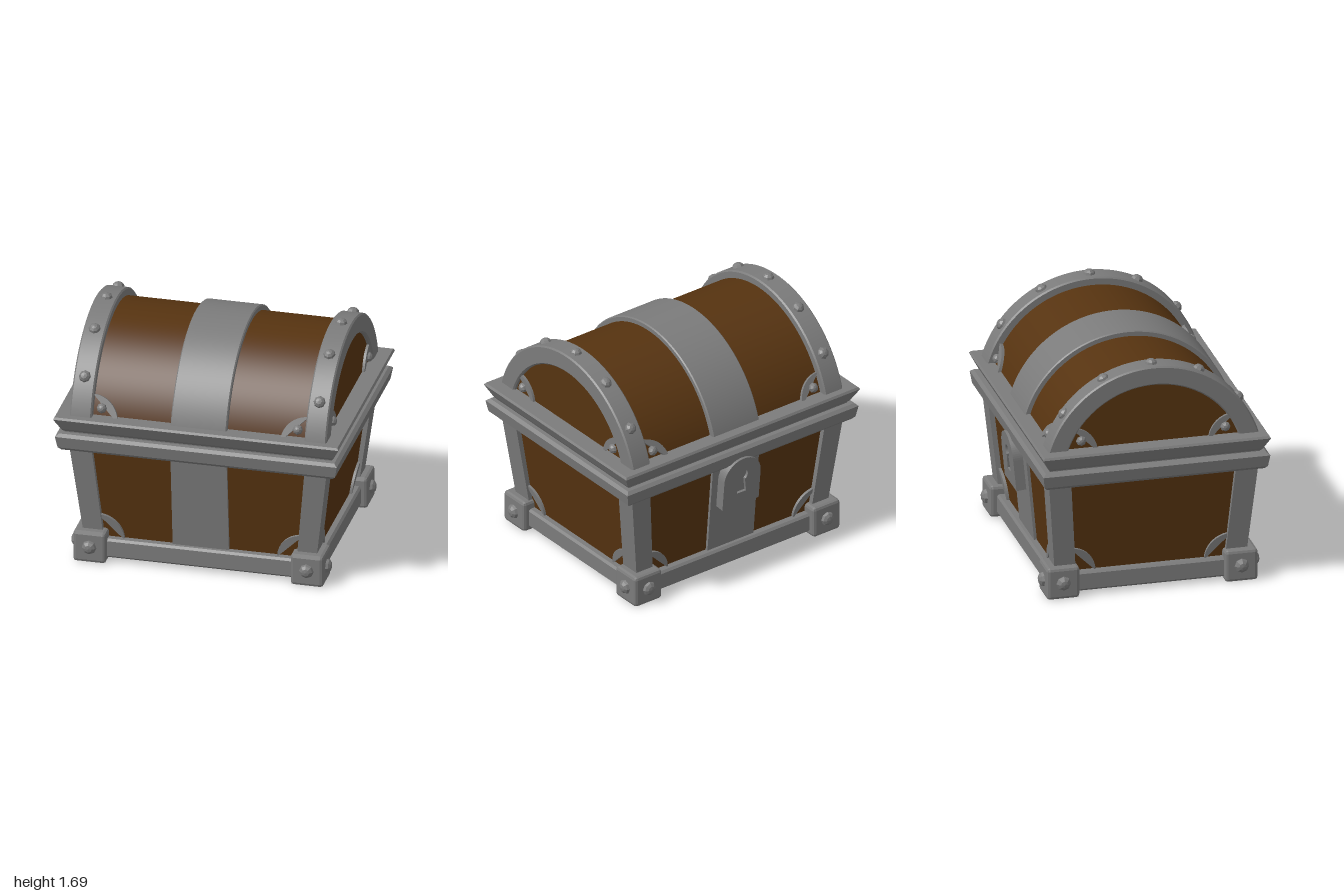
import * as THREE from 'three';
import { toCreasedNormals } from 'three/addons/utils/BufferGeometryUtils.js';
import { RoundedBoxGeometry } from 'three/addons/geometries/RoundedBoxGeometry.js';

const HALF_PI = Math.PI / 2;
const LID_Y = 0.884; // height of the lid's arc centre

export function createModel() {
  const iron = new THREE.MeshStandardMaterial({ color: 0x7b7b7b });
  iron.name = 'iron grey';
  const wood = new THREE.MeshStandardMaterial({ color: 0x563310 });
  wood.name = 'dark wood';

  const chest = new THREE.Group();
  chest.name = 'treasureChest';
  chest.position.z = 0.005;

  function add(name, geometry, material, parent = chest) {
    const mesh = new THREE.Mesh(geometry, material);
    mesh.name = name;
    parent.add(mesh);
    return mesh;
  }

  // Stack of rectangles [y, x0, x1, z0, z1] joined into a closed flat-shaded solid
  function loft(sections) {
    const pos = [], index = [];
    for (const [y, xa, xb, za, zb] of sections) {
      const x0 = Math.min(xa, xb), x1 = Math.max(xa, xb);
      const z0 = Math.min(za, zb), z1 = Math.max(za, zb);
      pos.push(x0, y, z1, x1, y, z1, x1, y, z0, x0, y, z0);
    }
    const top = (sections.length - 1) * 4;
    for (let o = 0; o < top; o += 4) {
      for (let i = 0; i < 4; i++) {
        const a = o + i, b = o + (i + 1) % 4;
        index.push(a, b, b + 4, a, b + 4, a + 4);
      }
    }
    index.push(0, 2, 1, 0, 3, 2, top, top + 1, top + 2, top, top + 2, top + 3);
    const g = new THREE.BufferGeometry();
    g.setAttribute('position', new THREE.Float32BufferAttribute(pos, 3));
    g.setIndex(index);
    const flat = g.toNonIndexed();
    flat.computeVertexNormals();
    return flat;
  }
  const centred = rows => loft(rows.map(([y, x, z]) => [y, -x, x, -z, z]));

  // Arched slab (or hoop, with an inner radius) lying along x
  function arch(outer, inner, width, bevel) {
    const cut = 0.16, R = outer - bevel;
    const a = Math.asin(cut / R);
    const shape = new THREE.Shape();
    shape.absarc(0, 0, R, a, Math.PI - a, false);
    if (inner) {
      const r = inner + bevel, b = Math.asin(cut / r);
      shape.absarc(0, 0, r, Math.PI - b, b, true);
    }
    const g = new THREE.ExtrudeGeometry(shape, {
      depth: width - 2 * bevel, curveSegments: 32, bevelEnabled: bevel > 0,
      bevelSize: bevel, bevelThickness: bevel, bevelSegments: 1,
    });
    g.translate(0, 0, -(width - 2 * bevel) / 2);
    g.rotateY(HALF_PI);
    g.translate(0, LID_Y, 0);
    return toCreasedNormals(g, 0.4);
  }

  // Faceted stud head pointing along +z
  function dome(r, depth) {
    const g = new THREE.SphereGeometry(r, 8, 3, 0, Math.PI * 2, 0, HALF_PI).toNonIndexed();
    g.rotateX(HALF_PI);
    g.scale(1, 1, depth / r);
    g.computeVertexNormals();
    return g;
  }

  // Quarter-disc corner plate, front face at z = 0
  function quarterPlate(r, start) {
    const shape = new THREE.Shape();
    shape.moveTo(0, 0);
    shape.absarc(0, 0, r, start, start + HALF_PI, false);
    const g = new THREE.ExtrudeGeometry(shape, { depth: 0.03, bevelEnabled: false, curveSegments: 8 });
    g.translate(0, 0, -0.03);
    return g;
  }

  // Tapered wooden body, base and the two rims
  add('woodenBody', centred([[0.1, 0.775, 0.63], [0.9, 0.87, 0.705]]), wood);
  add('baseFrame', centred([[0.03, 0.82, 0.68], [0.045, 0.835, 0.695], [0.155, 0.835, 0.695], [0.17, 0.82, 0.68]]), iron);
  add('bodyRim', centred([[0.85, 0.95, 0.765], [0.872, 0.972, 0.785], [0.955, 0.988, 0.798], [0.974, 0.965, 0.775]]), iron);
  add('rimSeam', centred([[0.96, 0.935, 0.74], [0.99, 0.935, 0.74]]), iron);
  add('lidRim', centred([[0.982, 0.942, 0.742], [1.0, 0.955, 0.755], [1.085, 1, 0.8], [1.1, 0.99, 0.79]]), iron);

  // Barrel lid with its middle strap and end hoops
  add('lidBarrel', arch(0.716, 0, 1.74, 0), wood);
  add('lidStrap', arch(0.754, 0, 0.394, 0.008), iron);
  const studHead = dome(0.043, 0.036);
  for (const s of [-1, 1]) {
    const hoop = new THREE.Group();
    hoop.name = s > 0 ? 'leftHoop' : 'rightHoop';
    hoop.position.x = s * 0.823;
    chest.add(hoop);
    add('hoopBand', arch(0.771, 0.636, 0.154, 0.01), iron, hoop);
    for (const deg of [-53, -26, 0, 26, 53]) {
      const a = THREE.MathUtils.degToRad(deg);
      const stud = add('hoopStud', studHead, iron, hoop);
      stud.position.set(0, LID_Y + 0.768 * Math.cos(a), 0.768 * Math.sin(a));
      stud.rotation.x = a - HALF_PI;
    }
  }

  // Straps down the front and back of the body
  for (const s of [-1, 1]) {
    add(s > 0 ? 'frontStrap' : 'backStrap', loft([
      [0.1, -0.197, 0.197, s * 0.55, s * 0.65],
      [0.9, -0.197, 0.197, s * 0.55, s * 0.725],
    ]), iron);
  }

  // Corner posts and bolted feet
  const block = new RoundedBoxGeometry(0.23, 0.23, 0.23, 1, 0.022);
  block.computeVertexNormals();
  const boltHead = dome(0.052, 0.038);
  for (const sx of [-1, 1]) {
    for (const sz of [-1, 1]) {
      add('cornerPost', loft([
        [0.1, sx * 0.67, sx * 0.805, sz * 0.52, sz * 0.667],
        [0.9, sx * 0.75, sx * 0.906, sz * 0.583, sz * 0.74],
      ]), iron);
      const foot = new THREE.Group();
      foot.name = 'cornerFoot';
      foot.position.set(sx * 0.762, 0.115, sz * 0.627);
      chest.add(foot);
      add('footBlock', block, iron, foot);
      const zBolt = add('footBolt', boltHead, iron, foot);
      zBolt.position.set(0, 0.003, sz * 0.113);
      zBolt.rotation.y = sz > 0 ? 0 : Math.PI;
      const xBolt = add('footBolt', boltHead, iron, foot);
      xBolt.position.set(sx * 0.113, 0.003, 0);
      xBolt.rotation.y = sx * HALF_PI;
    }
  }

  // Corner plates on all four sides of body and lid
  const smallStud = dome(0.036, 0.032);
  for (let k = 0; k < 4; k++) {
    const end = k % 2 === 1;
    const side = new THREE.Group();
    side.name = ['front', 'left', 'back', 'right'][k] + 'Plates';
    side.rotation.y = k * HALF_PI;
    chest.add(side);
    for (const s of [-1, 1]) {
      const start = s > 0 ? HALF_PI : 0;
      const low = add('bodyCornerPlate', quarterPlate(0.185, start), iron, side);
      low.position.set(s * (end ? 0.568 : 0.72), 0.16, end ? 0.8 : 0.655);
      low.rotation.x = end ? 0.118 : 0.093;

      const high = new THREE.Group();
      high.name = 'lidCornerPlate';
      high.position.set(s * (end ? 0.575 : 0.755), 1.07, end ? 0.888 : 0.722);
      high.rotation.x = end ? 0 : -0.41;
      side.add(high);
      add('plate', quarterPlate(0.185, start), iron, high);
      add('plateStud', smallStud, iron, high).position.set(-s * 0.068, end ? 0.09 : 0.093, -0.002);
    }
  }

  // Tilted lock with a recessed keyhole
  const lock = new THREE.Group();
  lock.name = 'lock';
  lock.position.set(0, 0.53, -0.7);
  lock.rotation.set(-0.1, Math.PI, 0);
  chest.add(lock);
  const lockShape = () => {
    const shape = new THREE.Shape();
    shape.moveTo(-0.155, 0);
    shape.lineTo(0.155, 0);
    shape.absarc(0, 0.225, 0.155, 0, Math.PI, false);
    return shape;
  };
  const faceShape = lockShape();
  const keyhole = new THREE.Path();
  keyhole.moveTo(-0.04, 0.1);
  keyhole.lineTo(0.04, 0.1);
  keyhole.lineTo(0.022, 0.205);
  keyhole.absarc(0, 0.24, 0.045, -0.9, Math.PI + 0.9, false);
  faceShape.holes.push(keyhole);
  const slab = (shape, depth) => new THREE.ExtrudeGeometry(shape, { depth, bevelEnabled: false, curveSegments: 16 });
  add('lockBody', slab(lockShape(), 0.05), iron, lock);
  add('lockFace', slab(faceShape, 0.02), iron, lock).position.z = 0.05;

  return chest;
}
